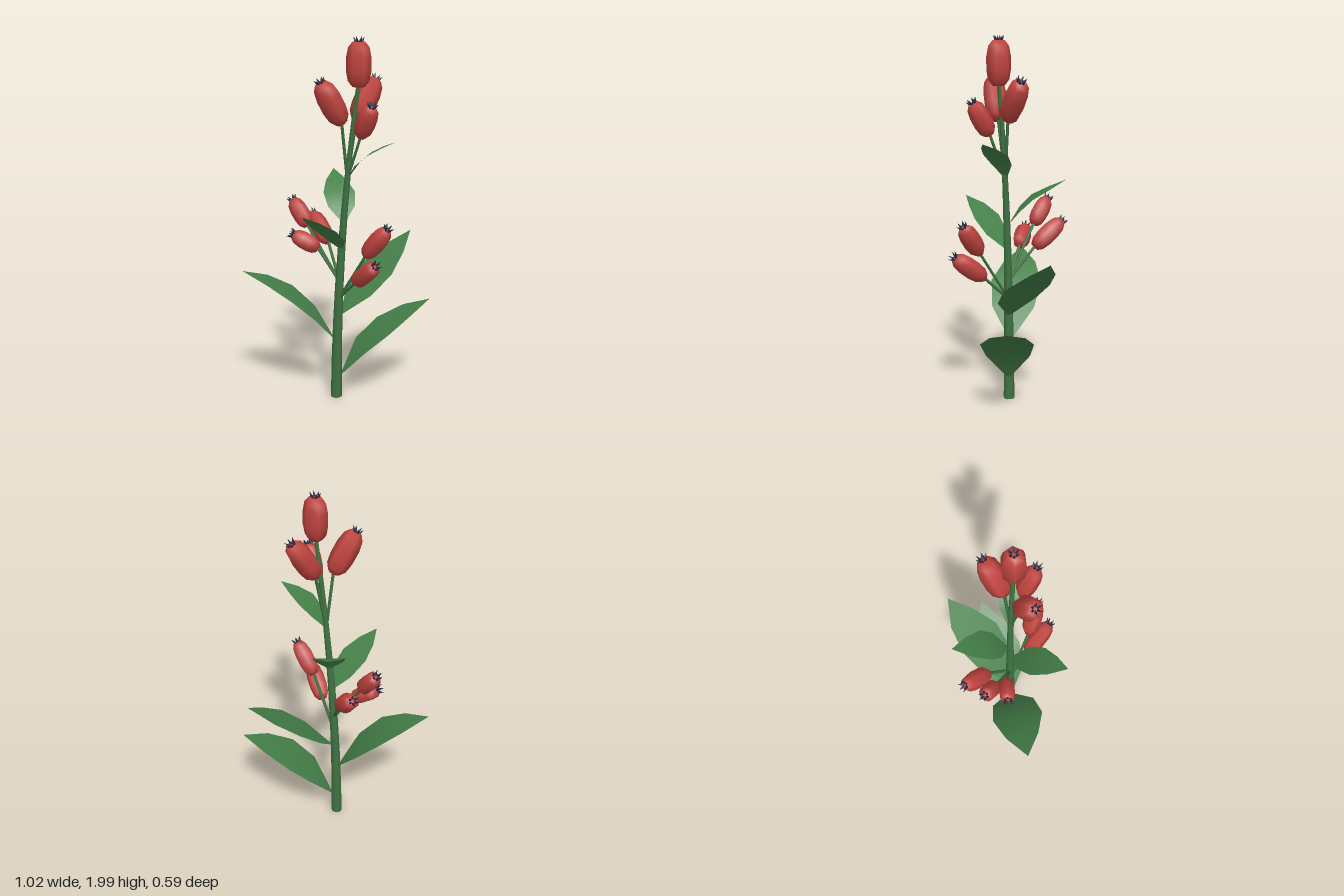
import * as THREE from 'three';

const V = (a) => new THREE.Vector3(...a);
const UP = new THREE.Vector3(0, 1, 0);

export function createModel() {
  const group = new THREE.Group();
  const mat = (name, color, extra = {}) =>
    Object.assign(new THREE.MeshStandardMaterial({ color, ...extra }), { name });
  const stemGreen = mat('stem green', 0x3f7342);
  const leafGreen = mat('leaf green', 0x458049, { side: THREE.DoubleSide });
  const berryRed = mat('berry red', 0xc0443f);
  const crownNavy = mat('crown navy', 0x2a2c46);

  const add = (parent, name, geometry, material) => {
    const mesh = new THREE.Mesh(geometry, material);
    mesh.name = name;
    parent.add(mesh);
    return mesh;
  };

  // Main stem: tapered cylinder bent along a gentle curve
  const stemHeight = 1.76;
  const stemX = (y) => -0.005 + 0.037 * y * y;
  const stemZ = (y) => 0.01 + 0.0028 * y ** 4;
  const stemGeo = new THREE.CylinderGeometry(0.01, 0.031, stemHeight, 8, 8);
  stemGeo.translate(0, stemHeight / 2, 0);
  const p = stemGeo.attributes.position;
  for (let i = 0; i < p.count; i++) {
    const y = p.getY(i);
    p.setXYZ(i, p.getX(i) + stemX(y), y, p.getZ(i) + stemZ(y));
  }
  stemGeo.computeVertexNormals();
  add(group, 'stem', stemGeo, stemGreen);

  // Berry: six-sided barrel between base and tip, topped by a ring of sepals
  function addBerry(base, tip, radius) {
    const from = V(base), axis = V(tip).sub(from);
    const length = axis.length() - 0.025;
    const berry = new THREE.Group();
    berry.name = 'berry';
    berry.position.copy(from);
    berry.quaternion.setFromUnitVectors(UP, axis.normalize());
    const profile = [[0, 0], [0.5, 0], [0.86, 0.13], [1, 0.35], [1, 0.65], [0.84, 0.88], [0.5, 1], [0, 1]]
      .map(([r, h]) => new THREE.Vector2(r * radius, h * length));
    add(berry, 'berryBody', new THREE.LatheGeometry(profile, 6, Math.PI / 2), berryRed);
    for (let i = 0; i < 6; i++) {
      const a = (i / 6) * Math.PI * 2;
      const sepal = add(berry, 'sepal', new THREE.ConeGeometry(0.009, 0.034, 4), crownNavy);
      const out = new THREE.Vector3(Math.cos(a), 0, Math.sin(a));
      sepal.position.copy(out).multiplyScalar(0.021).setY(length + 0.011);
      sepal.quaternion.setFromUnitVectors(UP, out.multiplyScalar(0.5).setY(1).normalize());
    }
    group.add(berry);
  }

  // Stalk: thin straight rod from the stem to a berry
  function addStalk(start, end) {
    const curve = new THREE.LineCurve3(V(start), V(end));
    add(group, 'stalk', new THREE.TubeGeometry(curve, 1, 0.008, 6), stemGreen);
  }

  // Berry clusters: stem joint height, then [base, tip, radius] of each berry
  const clusters = [
    [1.25, [
      [[0.025, 1.555, 0.06], [-0.09, 1.79, 0.12], 0.063],
      [[0.1, 1.565, -0.01], [0.205, 1.785, -0.107], 0.063],
      [[0.123, 1.49, 0.08], [0.186, 1.675, 0.165], 0.052],
    ]],
    [0.68, [
      [[-0.165, 0.965, -0.09], [-0.265, 1.115, -0.16], 0.048],
      [[-0.055, 0.865, -0.12], [-0.165, 1.01, -0.265], 0.052],
      [[-0.105, 0.855, -0.025], [-0.262, 0.945, -0.03], 0.048],
    ]],
    [0.58, [
      [[0.155, 0.865, 0.13], [0.277, 1.045, 0.195], 0.051],
      [[0.102, 0.715, 0.12], [0.217, 0.86, 0.268], 0.051],
    ]],
  ];
  for (const [y, berries] of clusters) {
    for (const [base, tip, radius] of berries) {
      addStalk([stemX(y), y, stemZ(y)], base);
      addBerry(base, tip, radius);
    }
  }
  addBerry([0.11, 1.74, 0.036], [0.11, 1.992, 0.036], 0.065);

  // Leaf: thin blade swept along a centre line, pointed at both ends
  function addLeaf(centres, halfWidth) {
    const pts = centres.map(V);
    const side = pts[4].clone().sub(pts[0]).setY(0).cross(UP).normalize();
    const widths = [0.05, 0.84, 1, 0.64, 0];
    const pos = [], index = [];
    pts.forEach((c, i) => {
      for (const s of [1, -1]) {
        pos.push(...c.clone().addScaledVector(side, s * widths[i] * halfWidth).toArray());
      }
      if (i < 4) {
        const a = i * 2;
        index.push(a, a + 2, a + 1);
        if (i < 3) index.push(a + 1, a + 2, a + 3);
      }
    });
    const geo = new THREE.BufferGeometry();
    geo.setAttribute('position', new THREE.Float32BufferAttribute(pos, 3));
    geo.setIndex(index);
    geo.computeVertexNormals();
    add(group, 'leaf', geo, leafGreen);
  }

  addLeaf([[0.02, 0.13, 0.005], [0.125, 0.295, -0.015], [0.25, 0.405, -0.04], [0.385, 0.49, -0.075], [0.51, 0.547, -0.105]], 0.142);
  addLeaf([[-0.015, 0.34, 0.005], [-0.12, 0.495, 0.015], [-0.245, 0.61, 0.025], [-0.38, 0.69, 0.035], [-0.512, 0.745, 0.05]], 0.142);
  addLeaf([[0.022, 0.49, 0.005], [0.115, 0.605, -0.06], [0.215, 0.71, -0.14], [0.31, 0.805, -0.23], [0.402, 0.89, -0.298]], 0.132);
  addLeaf([[0.025, 0.86, 0.015], [-0.015, 0.94, 0.08], [-0.07, 1.015, 0.15], [-0.12, 1.07, 0.22], [-0.163, 1.113, 0.295]], 0.087);
  addLeaf([[0.035, 1.005, 0], [0.02, 1.085, -0.055], [0.004, 1.15, -0.12], [-0.017, 1.2, -0.21], [-0.035, 1.245, -0.295]], 0.087);
  addLeaf([[0.053, 1.25, 0.012], [0.105, 1.335, 0.025], [0.165, 1.39, 0.04], [0.235, 1.43, 0.055], [0.31, 1.464, 0.07]], 0.072);

  return group;
}
